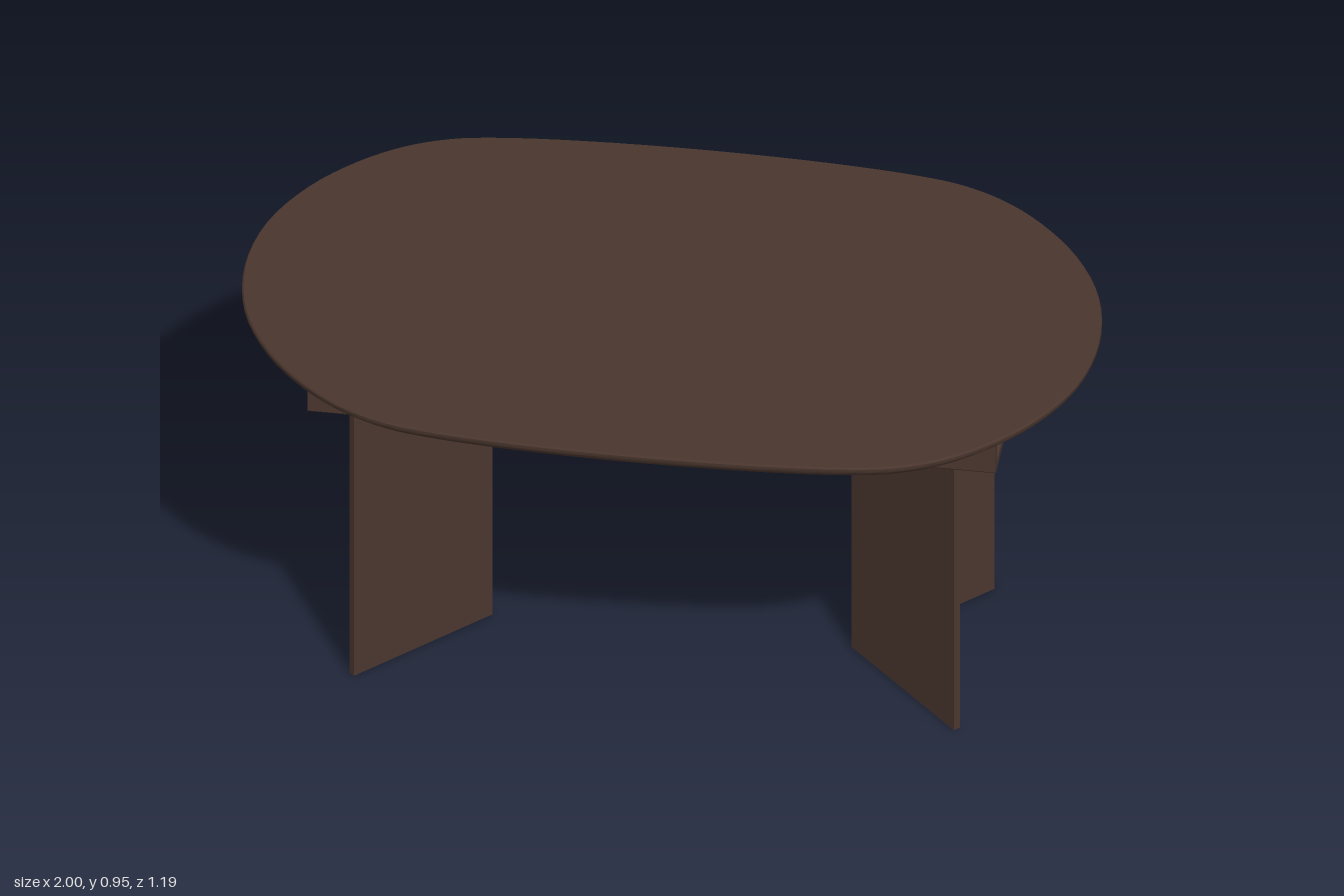
import * as THREE from 'three';
import { toCreasedNormals } from 'three/addons/utils/BufferGeometryUtils.js';

const wood = new THREE.MeshStandardMaterial({ color: 0x4a362e });
wood.name = 'dark wood';

// Extrudes a plan shape (x, -z) upward from y0 to y1.
function upright(shape, y0, y1) {
  const geo = new THREE.ExtrudeGeometry(shape, { depth: y1 - y0, bevelEnabled: false });
  return geo.rotateX(-Math.PI / 2).translate(0, y0, 0);
}

// Rounded outline: near-circular ends joined by gently bowed long sides.
function topOutline() {
  const quarter = [[1, 0], [0.974, 0.17], [0.9, 0.318], [0.8, 0.432], [0.7, 0.506], [0.6, 0.549], [0.5, 0.569], [0.3, 0.587], [0, 0.595]];
  const inner = quarter.slice(1, -1);
  const points = [
    ...quarter,
    ...inner.slice().reverse().map(([x, z]) => [-x, z]),
    [-1, 0],
    ...inner.map(([x, z]) => [-x, -z]),
    [0, -0.595],
    ...inner.slice().reverse().map(([x, z]) => [x, -z]),
  ].map(([x, z]) => new THREE.Vector3(x, 0, z));
  return new THREE.CatmullRomCurve3(points, true).getPoints(128).slice(0, -1);
}

// Table top lofted through inset rings, with a chamfered underside edge.
function topGeometry() {
  const outline = topOutline();
  const n = outline.length;
  const rings = [[0.915, 0.02], [0.932, 0.003], [0.938, 0], [0.946, 0], [0.95, 0.003]];
  const pos = [];
  const index = [];
  for (const [y, inset] of rings) {
    for (const p of outline) pos.push(p.x * (1 - inset), y, p.z * (1 - inset / 0.595));
  }
  for (let r = 0; r < rings.length - 1; r++) {
    for (let i = 0; i < n; i++) {
      const j = (i + 1) % n;
      const a = r * n + i, b = r * n + j, c = a + n, d = b + n;
      index.push(a, c, b, b, c, d);
    }
  }
  // Flat caps
  const low = pos.length / 3, high = low + 1, last = (rings.length - 1) * n;
  pos.push(0, 0.915, 0, 0, 0.95, 0);
  for (let i = 0; i < n; i++) {
    const j = (i + 1) % n;
    index.push(low, i, j, high, last + j, last + i);
  }
  const geo = new THREE.BufferGeometry();
  geo.setAttribute('position', new THREE.Float32BufferAttribute(pos, 3));
  geo.setIndex(index);
  return toCreasedNormals(geo, 0.5);
}

// U-shaped channel, open at both ends.
function channelGeometry() {
  const w = 0.32, t = 0.022, y0 = 0.78, y1 = 0.917, c = 0.006;
  const s = new THREE.Shape();
  s.moveTo(-w + c, y0);
  s.lineTo(w - c, y0);
  s.lineTo(w, y0 + c);
  s.lineTo(w, y1);
  s.lineTo(w - t, y1);
  s.lineTo(w - t, y0 + t);
  s.lineTo(-w + t, y0 + t);
  s.lineTo(-w + t, y1);
  s.lineTo(-w, y1);
  s.lineTo(-w, y0 + c);
  const geo = new THREE.ExtrudeGeometry(s, { depth: 1.61, bevelEnabled: false });
  return geo.translate(0, 0, -0.805).rotateY(Math.PI / 2);
}

// V-shaped leg: two boards meeting at an inner ridge and opening outward.
function legGeometry() {
  const apex = 0.42, reach = 0.282, t = 0.012;
  const s = new THREE.Shape();
  s.moveTo(apex, 0);
  s.lineTo(apex + reach, -reach);
  s.lineTo(apex + reach + t, -reach + t);
  s.lineTo(apex + 2 * t, 0);
  s.lineTo(apex + reach + t, reach - t);
  s.lineTo(apex + reach, reach);
  return upright(s, 0, 0.782);
}

export function createModel() {
  const model = new THREE.Group();
  model.name = 'diningTable';
  const add = (name, geo) => {
    const mesh = new THREE.Mesh(geo, wood);
    mesh.name = name;
    model.add(mesh);
    return mesh;
  };

  add('tableTop', topGeometry());
  add('supportChannel', channelGeometry());

  const leg = legGeometry();
  add('leftLeg', leg);
  add('rightLeg', leg).rotation.y = Math.PI;

  return model;
}
